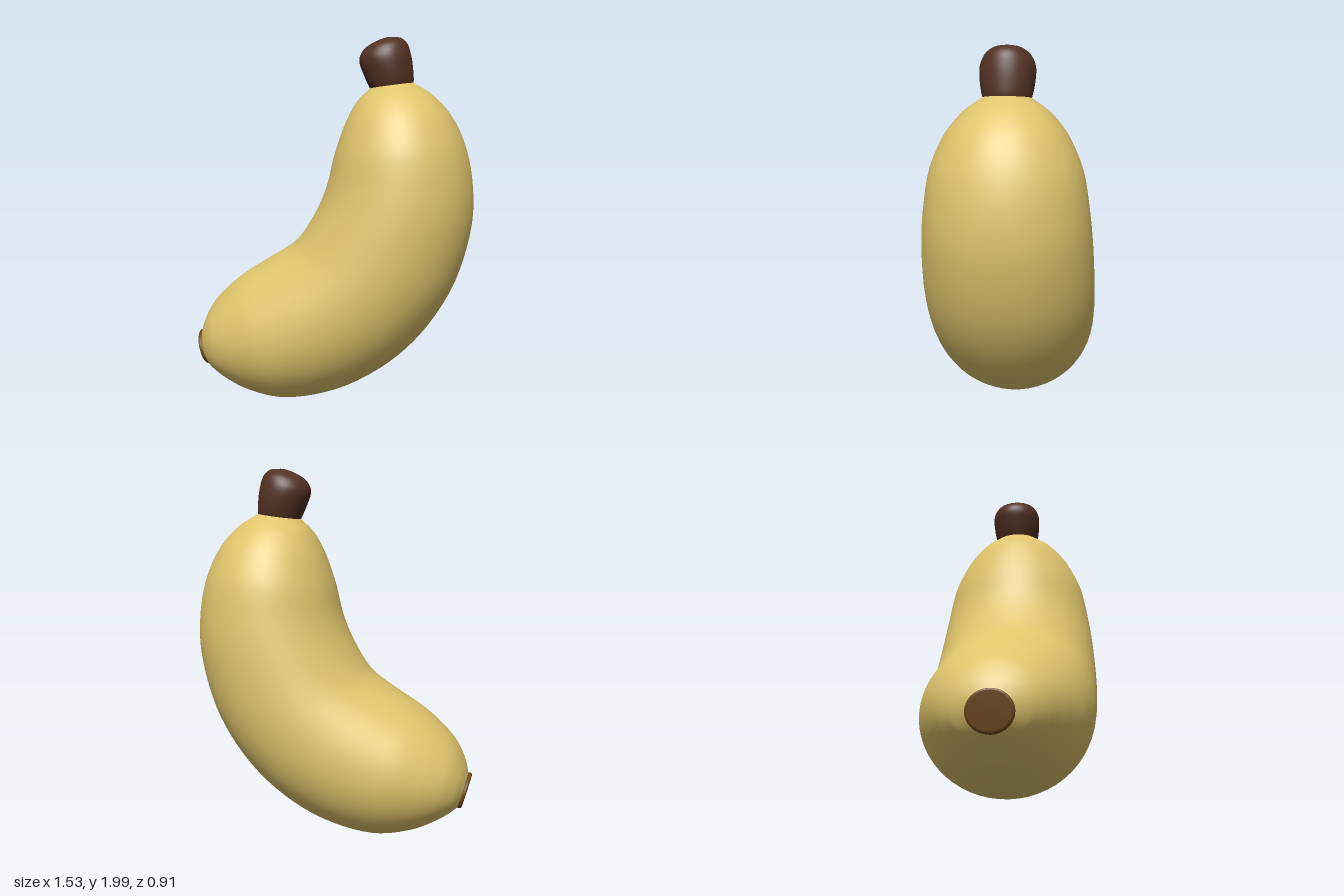
import * as THREE from 'three';

// Each section: inner-edge x, y, outer-edge x, y, half depth in z
const BODY = [
  [0.20, 1.73, 0.43, 1.76, 0.12],
  [0.13, 1.66, 0.54, 1.69, 0.22],
  [0.07, 1.55, 0.64, 1.58, 0.31],
  [0.01, 1.38, 0.72, 1.41, 0.385],
  [-0.035, 1.20, 0.76, 1.20, 0.42],
  [-0.10, 1.05, 0.755, 0.98, 0.44],
  [-0.20, 0.90, 0.65, 0.63, 0.453],
  [-0.29, 0.835, 0.42, 0.31, 0.453],
  [-0.38, 0.78, 0.10, 0.09, 0.44],
  [-0.49, 0.71, -0.24, 0.005, 0.405],
  [-0.60, 0.62, -0.46, 0.04, 0.335],
  [-0.68, 0.53, -0.59, 0.10, 0.265],
  [-0.73, 0.43, -0.66, 0.145, 0.19],
  [-0.75, 0.355, -0.70, 0.175, 0.11],
];

// Stem runs from its rounded top down into the body
const STEM = [
  [0.275, 1.995, 0.305, 1.999, 0.015],
  [0.225, 1.975, 0.36, 1.995, 0.07],
  [0.165, 1.935, 0.395, 1.967, 0.115],
  [0.14, 1.88, 0.417, 1.905, 0.14],
  [0.165, 1.80, 0.43, 1.82, 0.137],
  [0.20, 1.725, 0.432, 1.757, 0.122],
  [0.22, 1.69, 0.42, 1.72, 0.10],
];

const TIP = [
  [-0.735, 0.35, -0.685, 0.175, 0.10],
  [-0.755, 0.362, -0.702, 0.168, 0.112],
  [-0.766, 0.36, -0.716, 0.17, 0.11],
  [-0.769, 0.35, -0.722, 0.18, 0.10],
];

// Smooth skin of elliptical rings through the sections, with optional end caps
function loft(sections, rings, sides, capStart, capEnd) {
  const inner = new THREE.CatmullRomCurve3(sections.map(s => new THREE.Vector3(s[0], s[1], 0)));
  const outer = new THREE.CatmullRomCurve3(sections.map(s => new THREE.Vector3(s[2], s[3], 0)));
  const depth = new THREE.CatmullRomCurve3(sections.map((s, i) => new THREE.Vector3(i * 0.1, s[4], 0)));
  const pos = [], index = [];
  for (let i = 0; i <= rings; i++) {
    const t = i / rings;
    const a = inner.getPoint(t), b = outer.getPoint(t), w = depth.getPoint(t).y;
    const mid = a.clone().add(b).multiplyScalar(0.5);
    const half = b.clone().sub(a).multiplyScalar(0.5);
    for (let j = 0; j < sides; j++) {
      const ang = j / sides * Math.PI * 2, c = Math.cos(ang);
      pos.push(mid.x + half.x * c, mid.y + half.y * c, w * Math.sin(ang));
    }
  }
  for (let i = 0; i < rings; i++) {
    for (let j = 0; j < sides; j++) {
      const k = (j + 1) % sides;
      const a = i * sides + j, b = i * sides + k, c = a + sides, d = b + sides;
      index.push(a, b, c, b, d, c);
    }
  }
  const cap = (ring, s, flip) => {
    const centre = pos.length / 3;
    pos.push((s[0] + s[2]) / 2, (s[1] + s[3]) / 2, 0);
    for (let j = 0; j < sides; j++) {
      const a = ring * sides + j, b = ring * sides + (j + 1) % sides;
      if (flip) index.push(centre, b, a);
      else index.push(centre, a, b);
    }
  };
  if (capStart) cap(0, sections[0], true);
  if (capEnd) cap(rings, sections[sections.length - 1], false);
  const geo = new THREE.BufferGeometry();
  geo.setAttribute('position', new THREE.Float32BufferAttribute(pos, 3));
  geo.setIndex(index);
  geo.computeVertexNormals();
  return geo;
}

export function createModel() {
  const material = (name, color) => {
    const m = new THREE.MeshStandardMaterial({ color });
    m.name = name;
    return m;
  };
  const group = new THREE.Group();
  group.name = 'banana';
  const add = (name, geo, mat) => {
    const mesh = new THREE.Mesh(geo, mat);
    mesh.name = name;
    group.add(mesh);
  };

  // Curved fruit, open where the stem and tip are set in
  add('body', loft(BODY, 78, 56, false, false), material('banana yellow', 0xe0c56c));
  // Short thick stem with a rounded top
  add('stem', loft(STEM, 30, 40, true, true), material('dark brown', 0x533223));
  // Flat blossom end
  add('tip', loft(TIP, 9, 40, true, true), material('tip brown', 0x704818));
  return group;
}
